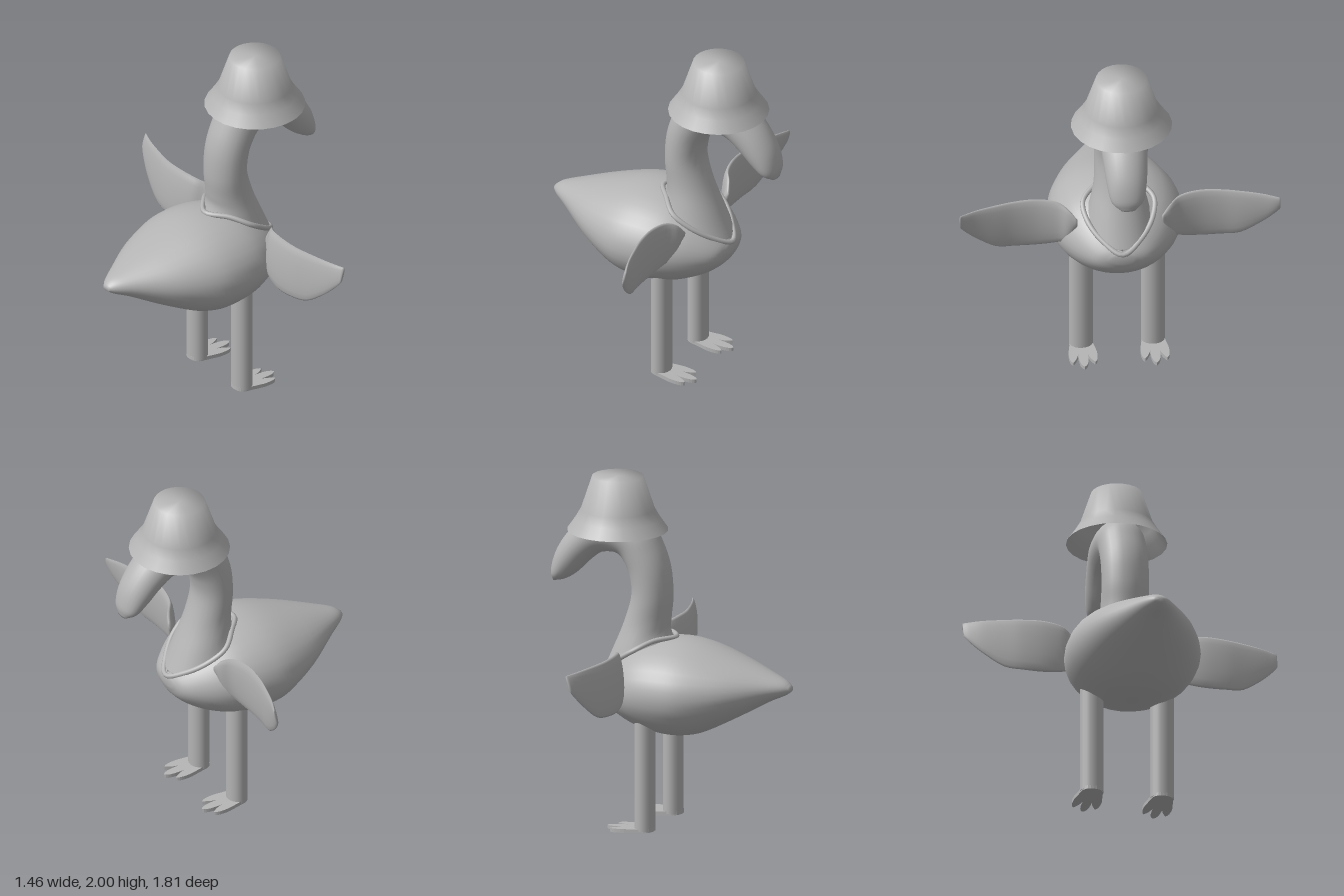
import * as THREE from 'three';

const V = (p) => new THREE.Vector3(...p);

// Smooth closed skin through elliptical sections [centre, half axis u, half axis v]
function loft(sections, steps = 5, sides = 24) {
  const curves = [0, 1, 2].map((k) => new THREE.CatmullRomCurve3(sections.map((s) => V(s[k])), false, 'catmullrom', 0.5));
  const n = (sections.length - 1) * steps;
  const pos = [], idx = [];
  const p = new THREE.Vector3();
  for (let i = 0; i <= n; i++) {
    const [c, u, v] = curves.map((k) => k.getPoint(i / n));
    for (let j = 0; j < sides; j++) {
      const a = (j / sides) * Math.PI * 2;
      p.copy(c).addScaledVector(u, Math.cos(a)).addScaledVector(v, Math.sin(a));
      pos.push(p.x, p.y, p.z);
    }
  }
  for (let i = 0; i < n; i++) {
    for (let j = 0; j < sides; j++) {
      const a = i * sides + j, b = i * sides + ((j + 1) % sides);
      idx.push(a, b, b + sides, a, b + sides, a + sides);
    }
  }
  // End caps
  pos.push(...sections[0][0], ...sections[sections.length - 1][0]);
  const c0 = (n + 1) * sides, last = n * sides;
  for (let j = 0; j < sides; j++) {
    const k = (j + 1) % sides;
    idx.push(c0, k, j, c0 + 1, last + j, last + k);
  }
  // Turn the faces outward
  const at = (i) => new THREE.Vector3().fromArray(pos, i * 3);
  let volume = 0;
  for (let i = 0; i < idx.length; i += 3) volume += at(idx[i]).dot(at(idx[i + 1]).cross(at(idx[i + 2])));
  if (volume < 0) idx.reverse();
  const g = new THREE.BufferGeometry();
  g.setAttribute('position', new THREE.Float32BufferAttribute(pos, 3));
  g.setIndex(idx);
  g.computeVertexNormals();
  return g;
}

// Section spanning two side-profile points, with a half width in z
const slice = ([ax, ay, bx, by, w]) => [
  [(ax + bx) / 2, (ay + by) / 2, 0],
  [(ax - bx) / 2, (ay - by) / 2, 0],
  [0, 0, w],
];

export function createModel() {
  const group = new THREE.Group();
  const grey = new THREE.MeshStandardMaterial({ color: 0xb4b4b4, side: THREE.DoubleSide });
  grey.name = 'plain grey';
  const add = (name, geometry) => {
    const mesh = new THREE.Mesh(geometry, grey);
    mesh.name = name;
    group.add(mesh);
    return mesh;
  };

  // Body, tail to breast: top point, bottom point, half width
  add('body', loft([
    [-0.73, 0.885, -0.73, 0.855, 0.025],
    [-0.69, 0.915, -0.69, 0.828, 0.065],
    [-0.6, 0.95, -0.6, 0.785, 0.13],
    [-0.4, 1.02, -0.4, 0.67, 0.27],
    [-0.2, 1.08, -0.2, 0.57, 0.36],
    [-0.05, 1.098, -0.05, 0.547, 0.378],
    [0.1, 1.08, 0.1, 0.565, 0.358],
    [0.22, 1.03, 0.22, 0.605, 0.305],
    [0.32, 0.96, 0.32, 0.66, 0.23],
    [0.39, 0.89, 0.39, 0.725, 0.15],
    [0.42, 0.85, 0.42, 0.79, 0.06],
  ].map(slice), 4, 32));

  // Neck bending over into head and beak
  add('neckAndHead', loft([
    [-0.02, 1.04, 0.415, 0.85, 0.19],
    [0.015, 1.13, 0.35, 1.0, 0.16],
    [0.012, 1.2, 0.28, 1.17, 0.138],
    [0.003, 1.32, 0.235, 1.33, 0.135],
    [0.015, 1.48, 0.245, 1.44, 0.135],
    [0.06, 1.62, 0.275, 1.51, 0.135],
    [0.14, 1.75, 0.31, 1.55, 0.135],
    [0.3, 1.81, 0.36, 1.56, 0.135],
    [0.47, 1.79, 0.43, 1.545, 0.135],
    [0.6, 1.68, 0.5, 1.49, 0.125],
    [0.69, 1.55, 0.57, 1.42, 0.112],
    [0.725, 1.43, 0.635, 1.375, 0.09],
    [0.718, 1.36, 0.69, 1.36, 0.04],
  ].map(slice)));

  // Collar sloping around the base of the neck
  const half = [[0.06, 1.095, 0.12], [0.15, 1.05, 0.2], [0.25, 0.985, 0.185], [0.35, 0.91, 0.11]];
  const loop = [[-0.025, 1.1, 0], ...half, [0.42, 0.855, 0], ...half.map(([x, y, z]) => [x, y, -z]).reverse()];
  add('collar', new THREE.TubeGeometry(new THREE.CatmullRomCurve3(loop.map(V), true), 64, 0.015, 8, true));

  // Flared hat, open underneath
  const hat = add('hat', new THREE.LatheGeometry(
    [[0.285, 1.69], [0.24, 1.755], [0.208, 1.81], [0.145, 2], [0, 2]].map((p) => new THREE.Vector2(...p)), 24));
  hat.position.x = 0.33;

  // Wing sections outward: z, top y, bottom y, x, half thickness
  const wing = [
    [0.24, 0.99, 0.93, 0.235, 0.015],
    [0.29, 1.05, 0.83, 0.21, 0.024],
    [0.35, 1.078, 0.785, 0.17, 0.026],
    [0.46, 1.088, 0.762, 0.148, 0.024],
    [0.58, 1.085, 0.765, 0.152, 0.022],
    [0.69, 1.082, 0.785, 0.175, 0.02],
    [0.8, 1.078, 0.865, 0.205, 0.016],
    [0.87, 1.073, 0.935, 0.232, 0.013],
    [0.905, 1.07, 0.98, 0.248, 0.008],
  ];

  // Foot outline with three toes
  const foot = new THREE.Shape();
  foot.moveTo(0.02, 0);
  foot.quadraticCurveTo(0.02, -0.06, 0.08, -0.064);
  foot.lineTo(0.17, -0.08);
  foot.quadraticCurveTo(0.25, -0.085, 0.265, -0.062);
  foot.quadraticCurveTo(0.23, -0.035, 0.19, -0.027);
  foot.quadraticCurveTo(0.29, -0.03, 0.305, 0);
  foot.quadraticCurveTo(0.29, 0.03, 0.19, 0.027);
  foot.quadraticCurveTo(0.23, 0.035, 0.265, 0.062);
  foot.quadraticCurveTo(0.25, 0.085, 0.17, 0.08);
  foot.lineTo(0.08, 0.064);
  foot.quadraticCurveTo(0.02, 0.06, 0.02, 0);

  // Wings, legs and feet on both sides
  for (const [side, s] of [['right', 1], ['left', -1]]) {
    add(side + 'Wing', loft(wing.map(([z, t, b, x, h]) => [
      [x, (t + b) / 2, z * s], [0.012, (t - b) / 2, 0], [h, 0, 0],
    ]), 4, 16));

    const leg = add(side + 'Leg', new THREE.CylinderGeometry(1, 1, 0.73, 20));
    leg.scale.set(0.057, 1, 0.068);
    leg.position.set(0.078, 0.385, 0.203 * s);

    const sole = new THREE.ExtrudeGeometry(foot, { depth: 0.022, bevelEnabled: false, curveSegments: 6 });
    sole.rotateX(Math.PI / 2).translate(-0.305, 0.022, 0).rotateZ(-0.05).translate(0.305, 0, 0);
    add(side + 'Foot', sole).position.z = 0.203 * s;
  }
  return group;
}
